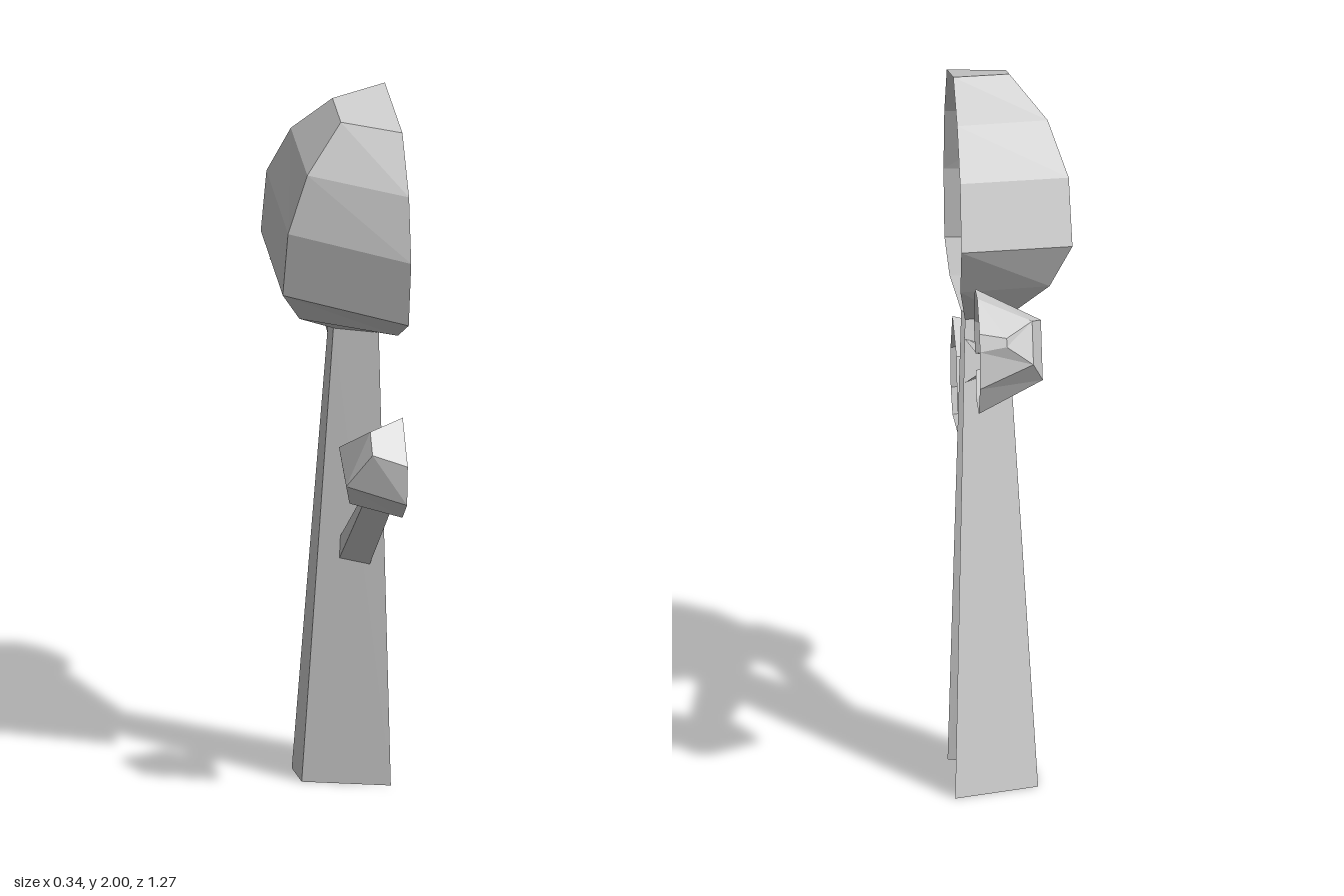
import * as THREE from 'three';

const material = new THREE.MeshStandardMaterial({
  color: 0xcccccc, flatShading: true, side: THREE.DoubleSide,
});

// Open half-hexagon shell lofted through rings.
// Each ring: [frontZ, frontY, backZ, backY, rimX, deepX]
function halfShell(name, rings, capped = false) {
  const positions = [];
  const rows = rings.map(([za, ya, zb, yb, rim, deep]) =>
    [0, 0.26, 0.74, 1].map((t, i) => [
      i % 3 === 0 ? rim : deep,
      THREE.MathUtils.lerp(ya, yb, t),
      THREE.MathUtils.lerp(za, zb, t),
    ]));
  const quad = (a, b, c, d) => positions.push(...a, ...b, ...c, ...a, ...c, ...d);
  for (let r = 0; r < rows.length - 1; r++) {
    for (let i = 0; i < 3; i++) {
      quad(rows[r][i], rows[r + 1][i], rows[r + 1][i + 1], rows[r][i + 1]);
    }
  }
  if (capped) {
    const [a, b, c, d] = rows[rows.length - 1];
    quad(a, d, c, b);
  }
  const geometry = new THREE.BufferGeometry();
  geometry.setAttribute('position', new THREE.Float32BufferAttribute(positions, 3));
  geometry.computeVertexNormals();
  const mesh = new THREE.Mesh(geometry, material);
  mesh.name = name;
  return mesh;
}

export function createModel() {
  const tree = new THREE.Group();
  tree.name = 'halfTree';

  // Tapering trunk, open along its +x side
  tree.add(halfShell('trunk', [
    [0.14, 0, -0.19, 0, 0.165, -0.07],
    [0.175, 1.30, 0.015, 1.33, 0.125, 0.005],
  ]));

  // Large crown, from neck to flat top
  tree.add(halfShell('crown', [
    [0.175, 1.30, 0.015, 1.33, 0.125, 0.005],
    [0.366, 1.337, -0.10, 1.45, 0.145, -0.11],
    [0.51, 1.40, -0.22, 1.607, 0.15, -0.17],
    [0.55, 1.586, -0.165, 1.79, 0.15, -0.163],
    [0.515, 1.767, -0.037, 1.915, 0.15, -0.11],
    [0.41, 1.925, 0.13, 2.0, 0.15, -0.01],
  ], true));

  // Upper branch and its leaf ball, reaching to the back
  tree.add(halfShell('upperBranch', [
    [0.065, 1.26, 0.015, 1.145, 0.125, 0.03],
    [-0.36, 1.365, -0.395, 1.31, 0.12, 0.04],
  ]));
  tree.add(halfShell('upperLeafBall', [
    [-0.355, 1.36, -0.38, 1.32, 0.12, 0.04],
    [-0.366, 1.459, -0.477, 1.268, 0.125, -0.02],
    [-0.414, 1.57, -0.584, 1.263, 0.125, -0.055],
    [-0.515, 1.576, -0.637, 1.353, 0.125, -0.025],
    [-0.615, 1.507, -0.631, 1.459, 0.125, 0.05],
  ], true));

  // Lower branch and its leaf ball, reaching to the front
  tree.add(halfShell('lowerBranch', [
    [0.133, 0.626, 0.048, 0.70, 0.105, 0.025],
    [0.414, 0.86, 0.377, 0.895, 0.12, 0.04],
  ]));
  tree.add(halfShell('lowerLeafBall', [
    [0.414, 0.86, 0.377, 0.895, 0.12, 0.04],
    [0.552, 0.865, 0.361, 0.997, 0.125, -0.015],
    [0.626, 0.918, 0.387, 1.093, 0.125, -0.035],
    [0.637, 1.03, 0.557, 1.151, 0.125, 0.03],
  ], true));

  return tree;
}
